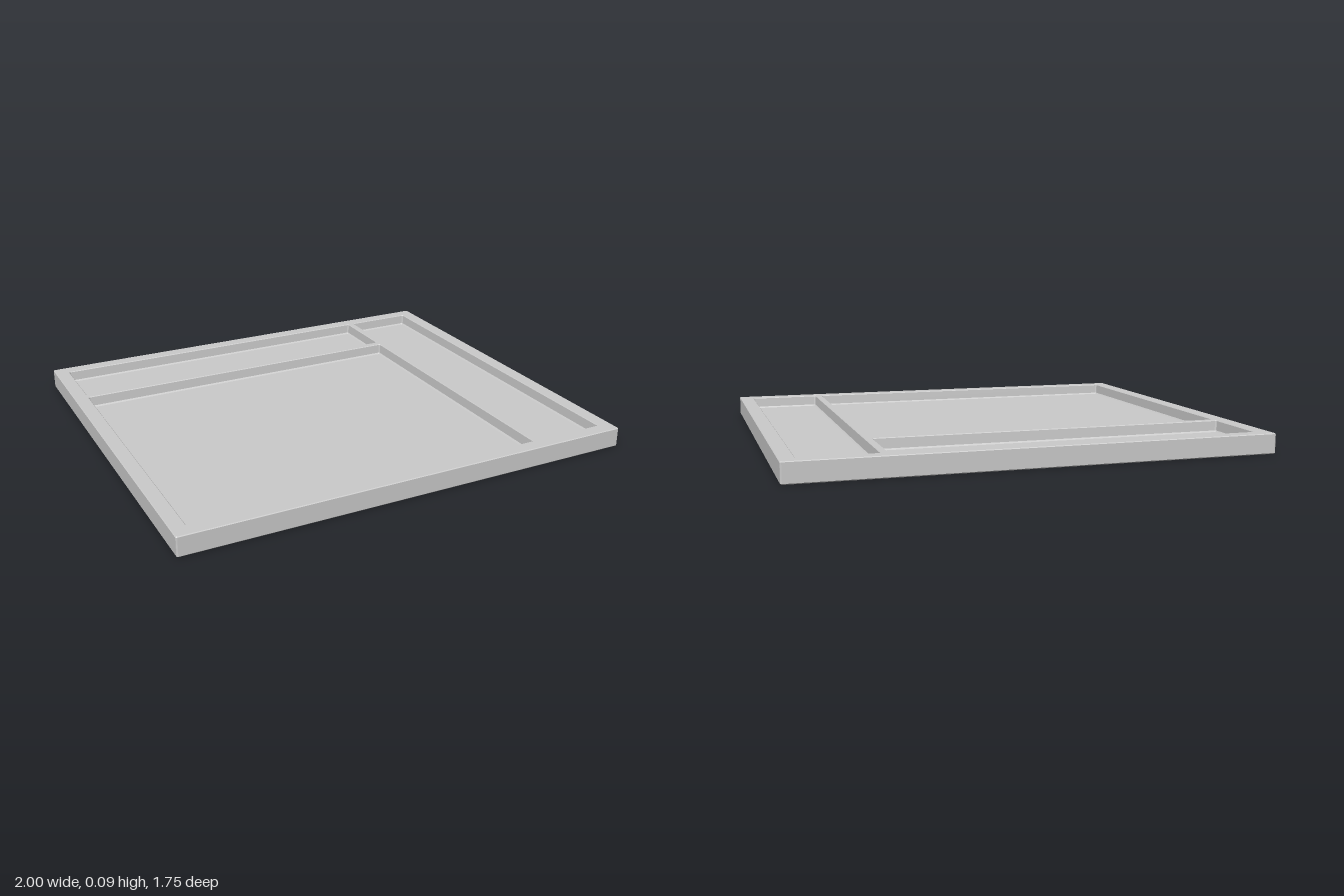
import * as THREE from 'three';

const HEIGHT = 0.085, FLOOR = 0.035;
const material = new THREE.MeshStandardMaterial({ color: 0xcccccc, flatShading: true });

// Rounded rectangle, counter-clockwise from above; v = -z
function ring([x0, x1, z0, z1], inset, radius) {
  const pts = [];
  const corners = [[x1, -z0, -1, -1], [x0, -z0, 1, -1], [x0, -z1, 1, 1], [x1, -z1, -1, 1]];
  corners.forEach(([x, v, sx, sv], k) => {
    for (let i = 0; i <= 3; i++) {
      const a = (k + i / 3) * Math.PI / 2;
      pts.push(new THREE.Vector2(
        x + sx * (inset + radius) + radius * Math.cos(a),
        v + sv * (inset + radius) + radius * Math.sin(a)));
    }
  });
  return pts;
}

// Skin between successive rings [points, height]
function loft(levels) {
  const pos = [];
  for (let k = 0; k < levels.length - 1; k++) {
    const [a, ya] = levels[k], [b, yb] = levels[k + 1];
    a.forEach((p, i) => {
      const j = (i + 1) % a.length;
      const A = [p.x, ya, -p.y], B = [a[j].x, ya, -a[j].y];
      const C = [b[j].x, yb, -b[j].y], D = [b[i].x, yb, -b[i].y];
      pos.push(...A, ...B, ...C, ...A, ...C, ...D);
    });
  }
  const g = new THREE.BufferGeometry();
  g.setAttribute('position', new THREE.Float32BufferAttribute(pos, 3));
  g.computeVertexNormals();
  return g;
}

// Flat horizontal face facing up, with optional openings
function face(outline, y, holes = []) {
  const shape = new THREE.Shape(outline);
  holes.forEach(h => shape.holes.push(new THREE.Path(h)));
  return new THREE.ShapeGeometry(shape).rotateX(-Math.PI / 2).translate(0, y, 0);
}

export function createModel() {
  const group = new THREE.Group();
  const add = (name, geometry) => {
    const mesh = new THREE.Mesh(geometry, material);
    mesh.name = name;
    group.add(mesh);
  };

  const outer = [-1, 1, -0.875, 0.875];
  const pockets = {
    mainPocket: [-0.94, 0.597, -0.476, 0.815],
    backPocket: [-0.94, 0.597, -0.818, -0.502],
    sidePocket: [0.622, 0.94, -0.818, 0.815],
  };

  // Outer walls with softened edges, and the underside
  const base = ring(outer, 0.004, 0.004);
  add('outerWalls', loft([
    [base, 0], [ring(outer, 0, 0.006), 0.004],
    [ring(outer, 0, 0.006), HEIGHT - 0.003], [ring(outer, 0.003, 0.004), HEIGHT],
  ]));
  add('underside', face(base, 0).rotateX(Math.PI));

  // Rim and dividers
  add('rim', face(ring(outer, 0.003, 0.004), HEIGHT,
    Object.values(pockets).map(p => ring(p, 0, 0.008))));

  // Recessed pockets: slightly sloping walls and a flat floor
  for (const [name, rect] of Object.entries(pockets)) {
    const foot = ring(rect, 0.012, 0.004);
    add(name + 'Walls', loft([
      [ring(rect, 0, 0.008), HEIGHT], [ring(rect, 0.003, 0.007), HEIGHT - 0.003],
      [ring(rect, 0.006, 0.006), FLOOR + 0.006], [foot, FLOOR],
    ]));
    add(name + 'Floor', face(foot, FLOOR));
  }
  return group;
}
